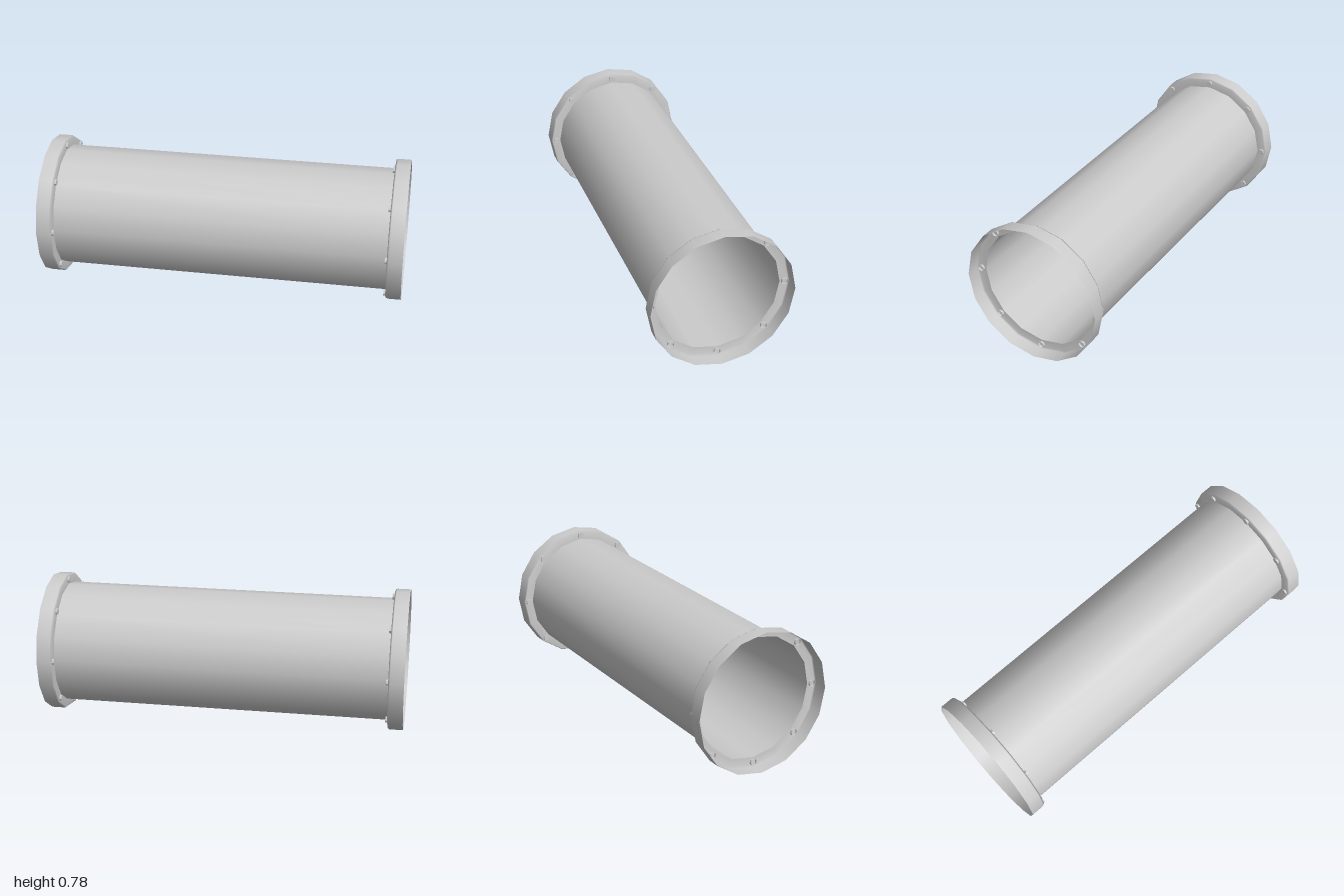
import * as THREE from 'three';

const SIDES = 16;
const TUBE_R = 0.337, RIM_R = 0.389, PLATE = 0.916, BOLTS = 8;

export function createModel() {
  const model = new THREE.Group();
  model.name = 'flangedPipe';
  const smooth = new THREE.MeshStandardMaterial({ color: 0xcccccc, side: THREE.DoubleSide });
  const flat = new THREE.MeshStandardMaterial({ color: 0xcccccc, side: THREE.DoubleSide, flatShading: true });

  // Everything is built along y, then laid down along x
  const pipe = new THREE.Group();
  pipe.name = 'pipe';
  pipe.rotation.z = -Math.PI / 2;
  pipe.position.y = 0.391;
  model.add(pipe);

  // Open tube wall
  const tube = new THREE.Mesh(
    new THREE.CylinderGeometry(TUBE_R, TUBE_R, PLATE * 2, SIDES, 1, true), smooth);
  tube.name = 'tube';
  pipe.add(tube);

  // Cup-shaped flange: ring plate, small bevel, outer rim, open at the end
  const flangeGeo = new THREE.LatheGeometry([
    new THREE.Vector2(TUBE_R, PLATE),
    new THREE.Vector2(0.384, PLATE),
    new THREE.Vector2(RIM_R, 0.925),
    new THREE.Vector2(RIM_R, 1),
  ], SIDES);

  // Bolt through the plate: capped on the tube side, open inside the cup
  const boltGeo = new THREE.LatheGeometry([
    new THREE.Vector2(0, 0.905),
    new THREE.Vector2(0.018, 0.905),
    new THREE.Vector2(0.018, 0.928),
  ], 8);

  for (const [side, turn] of [['left', 0], ['right', Math.PI]]) {
    const end = new THREE.Group();
    end.name = side + 'End';
    end.rotation.z = turn;
    const flange = new THREE.Mesh(flangeGeo, smooth);
    flange.name = side + 'Flange';
    end.add(flange);
    for (let i = 0; i < BOLTS; i++) {
      const a = (i / BOLTS) * Math.PI * 2;
      const bolt = new THREE.Mesh(boltGeo, flat);
      bolt.name = side + 'Bolt' + (i + 1);
      bolt.position.set(Math.cos(a) * 0.362, 0, Math.sin(a) * 0.362);
      end.add(bolt);
    }
    pipe.add(end);
  }
  return model;
}
